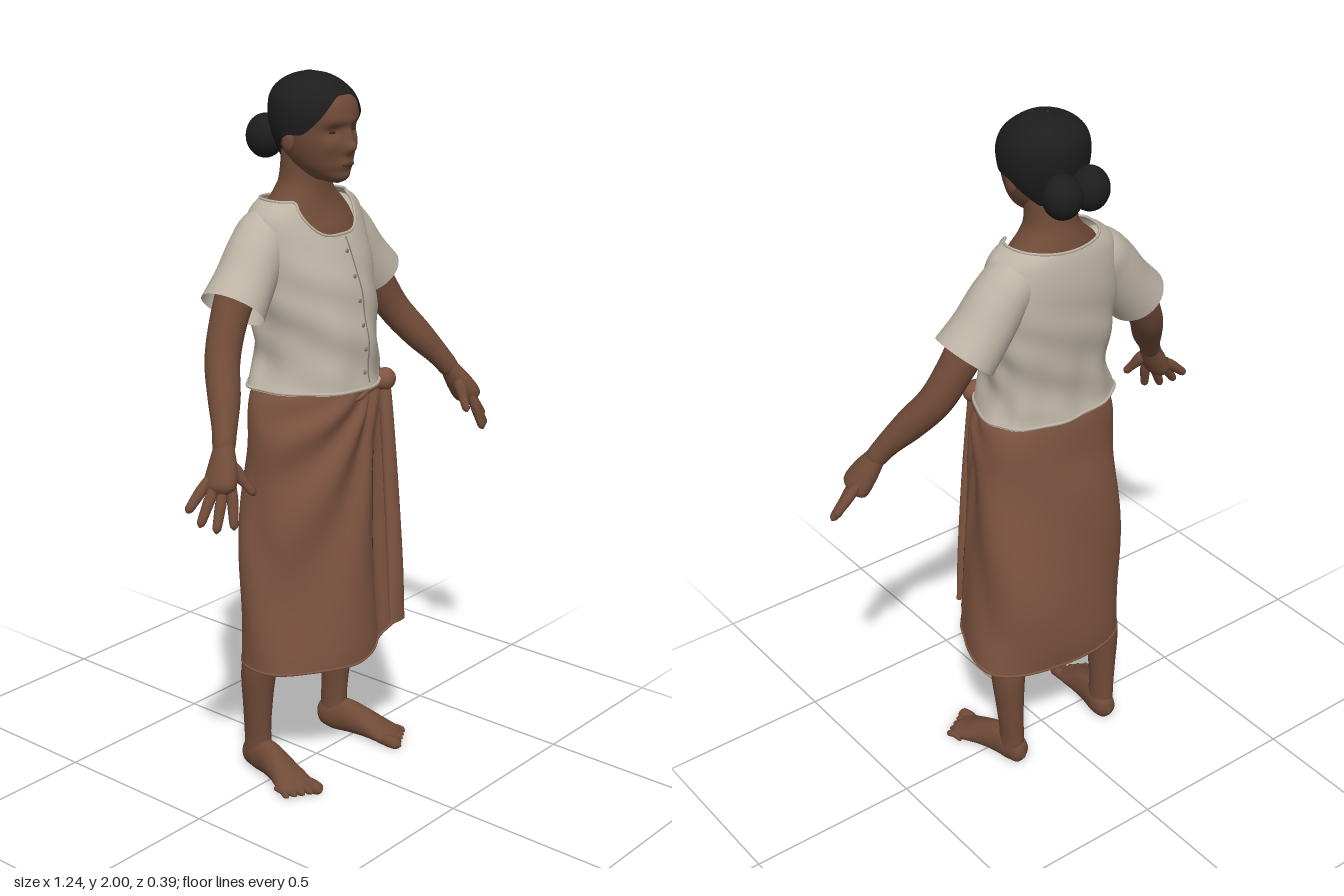
import * as THREE from 'three';

const mat = (name, color) => Object.assign(new THREE.MeshStandardMaterial({ color, side: THREE.DoubleSide }), { name });
const M = {
  skin: mat('skin', 0x6f4a37), hair: mat('hair', 0x1d1d1e), blouse: mat('blouse cloth', 0xbdb3a5),
  seam: mat('blouse seam', 0x857e76), skirt: mat('skirt cloth', 0x7f5541), lining: mat('skirt lining', 0x232323),
  lips: mat('lips', 0x5e3b2d), eyes: mat('eyes', 0x38241b),
};
const { sin, cos, exp, abs, PI, max, min } = Math;
const bell = (d, w) => exp(-((d / w) ** 2));
const smooth = (a, b, x) => { const t = min(1, max(0, (x - a) / (b - a))); return t * t * (3 - 2 * t); };

// Surface over a grid; u runs around (closed when wrap is set), v runs along
function grid(nu, nv, fn, wrap = true) {
  const pos = [], idx = [], cols = wrap ? nu : nu + 1;
  for (let j = 0; j <= nv; j++) for (let i = 0; i < cols; i++) pos.push(...fn(i / nu, j / nv));
  for (let j = 0; j < nv; j++) for (let i = 0; i < nu; i++) {
    const a = j * cols + i, b = j * cols + (i + 1) % cols, c = a + cols, d = b + cols;
    idx.push(a, b, d, a, d, c);
  }
  const g = new THREE.BufferGeometry();
  g.setAttribute('position', new THREE.Float32BufferAttribute(pos, 3));
  g.setIndex(idx);
  g.computeVertexNormals();
  return g;
}

// Smooth lookup of a profile table whose rows start with their key
function lookup(t, y) {
  let i = 0;
  while (i < t.length - 2 && y > t[i + 1][0]) i++;
  const slope = (k, c) => {
    const a = t[max(k - 1, 0)], b = t[min(k + 1, t.length - 1)];
    return (b[c] - a[c]) / (b[0] - a[0]);
  };
  const h = t[i + 1][0] - t[i][0], s = min(1, max(0, (y - t[i][0]) / h)), s2 = s * s, s3 = s2 * s;
  return t[i].slice(1).map((p, n) => p * (2 * s3 - 3 * s2 + 1) + t[i + 1][n + 1] * (3 * s2 - 2 * s3)
    + h * (slope(i, n + 1) * (s3 - 2 * s2 + s) + slope(i + 1, n + 1) * (s3 - s2)));
}

// Point on a body ring: rows are [y, half width, front z, back z]; angle 0 faces front.
// mid is the z of the widest place, box squares the back corners
function ring(t, a, y, off = 0, box = 0, mid) {
  const [rx, zf, zb] = lookup(t, y), c = cos(a), zc = mid ?? (zf + zb) / 2;
  const q = 1 + (c < 0 ? box : 0) * sin(2 * a) ** 2;
  return [(rx + off) * q * sin(a), y, zc + ((c > 0 ? zf - zc : zc - zb) + off) * q * c];
}

// Tube through rows of [x, y, z, radius across, radius along ref]
function sweep(rows, ref, nu = 20, nv = 30, floor = -1) {
  const curve = new THREE.CatmullRomCurve3(rows.map(r => new THREE.Vector3(r[0], r[1], r[2])));
  const radii = rows.map((r, i) => [i, r[3], r[4] ?? r[3]]);
  return grid(nu, nv, (u, v) => {
    const p = curve.getPoint(v), T = curve.getTangent(v);
    const side = T.clone().cross(ref).normalize(), up = side.clone().cross(T);
    const [ra, rb] = lookup(radii, v * (rows.length - 1)), a = u * 2 * PI;
    p.addScaledVector(side, ra * cos(a)).addScaledVector(up, -rb * sin(a));
    return [p.x, max(p.y, floor), p.z];
  });
}
const X = new THREE.Vector3(1, 0, 0), Y = new THREE.Vector3(0, 1, 0), Z = new THREE.Vector3(0, 0, 1);

const HEAD = [[1.712, .005, .075, .04], [1.722, .034, .094, -.01], [1.75, .064, .103, -.055], [1.78, .082, .107, -.08],
  [1.82, .096, .11, -.1], [1.86, .105, .108, -.113], [1.9, .108, .113, -.118], [1.94, .098, .096, -.113],
  [1.97, .068, .052, -.085], [1.985, .004, -.01, -.03]];
const HAIR = [[1.75, .065, .08, -.095], [1.82, .107, .112, -.115], [1.86, .117, .114, -.126], [1.9, .119, .117, -.131],
  [1.94, .109, .1, -.127], [1.97, .085, .066, -.105], [1.99, .048, .03, -.07], [2, .003, -.01, -.03]];
const NECK = [[1.5, .16, .095, -.12], [1.58, .16, .074, -.128], [1.62, .15, .05, -.132], [1.65, .126, .036, -.13],
  [1.68, .094, .029, -.122], [1.71, .074, .027, -.112], [1.79, .069, .03, -.1]];
const BLOUSE = [[1.16, .2, .178, -.152], [1.19, .188, .174, -.146], [1.25, .172, .172, -.142], [1.32, .176, .168, -.147],
  [1.4, .188, .152, -.156], [1.48, .195, .13, -.16], [1.56, .196, .094, -.16], [1.62, .19, .062, -.152],
  [1.65, .168, .046, -.144], [1.68, .11, .034, -.13]];
const SKIRT = [[.33, .238, .194, -.158], [.42, .238, .196, -.168], [.6, .229, .183, -.175], [.8, .22, .167, -.166],
  [1, .212, .156, -.147], [1.12, .2, .153, -.143], [1.2, .165, .143, -.13]];

// Head ring with nose, brow, eye sockets, lips and chin raised on the front
function headPoint(a, y) {
  const p = ring(HEAD, a, y, 0, .03), x = abs(p[0]);
  if (cos(a) > 0) p[2] += .024 * bell(x, .017) * bell(y - 1.81, .017) + .013 * bell(x, .014) * bell(y - 1.84, .024)
    - .011 * bell(x - .042, .022) * bell(y - 1.853, .015) + .005 * bell(x, .07) * bell(y - 1.88, .012)
    + .009 * bell(x, .028) * bell(y - 1.767, .016) + .006 * bell(x, .03) * bell(y - 1.732, .014)
    + .005 * bell(x - .055, .025) * bell(y - 1.815, .02);
  return p;
}
function blousePoint(a, y, off = 0) {
  const folds = .003 * sin(9 * a) * smooth(1.5, 1.2, y) + .003 * sin(4 * a + 45 * y) * smooth(1.6, 1.4, y);
  return ring(BLOUSE, a, y, off + folds, .07, -.03);
}
// Wrapped cloth: folds fan out from the waist knot, with one hanging pleat
function skirtPoint(a, y, off = 0) {
  const fan = Math.atan2(.24 * sin(a) - .13, 1.24 - y), front = smooth(-.1, .5, cos(a));
  const folds = .008 * sin(fan * 17) * front * smooth(1.2, 1.05, y)
    + .007 * sin(3 * a + 11 * y) * (1 - front) * smooth(1.15, .9, y)
    + .022 * bell(a - .62, .17) + .008 * bell(a - .95, .1) - .008 * bell(a - .3, .1);
  const p = ring(SKIRT, a, y, off + folds, .07, -.03);
  p[0] += .004;
  p[2] -= .035 * bell(a + .7, .55) * smooth(.85, .38, y);
  return p;
}

export function createModel() {
  const model = new THREE.Group();
  const add = (name, geometry, material, parent = model) => {
    const m = new THREE.Mesh(geometry, material);
    m.name = name;
    parent.add(m);
    return m;
  };
  const ball = (name, material, p, s, parent) => {
    const m = add(name, new THREE.SphereGeometry(1, 24, 16), material, parent);
    m.position.set(...p);
    m.scale.set(...s);
    return m;
  };
  const around = u => u * 2 * PI - PI;

  // Head, face and hair
  const head = new THREE.Group();
  head.name = 'head';
  model.add(head);
  add('face', grid(96, 80, (u, v) => headPoint(around(u), 1.712 + .273 * (.5 - .5 * cos(v * PI)))), M.skin, head);
  add('hairCap', grid(72, 30, (u, v) => {
    const a = around(u), b = abs(a);
    const low = 1.946 - .1 * smooth(.15, 1.3, b) - .08 * smooth(1.5, 2.5, b);
    return ring(HAIR, a, low + (2 - low) * sin(v * PI / 2), 0, .02);
  }), M.hair, head);
  for (const s of [1, -1]) {
    ball('hairBun', M.hair, [s * .044, 1.82, -.143], [.053, .06, .053], head);
    ball('ear', M.skin, [s * .103, 1.828, -.01], [.011, .03, .02], head);
    ball('eye', M.eyes, [s * .041, 1.852, .089], [.012, .0035, .005], head);
  }
  ball('lips', M.lips, [0, 1.767, .109], [.023, .007, .008], head);

  // Neck and upper chest
  add('neck', grid(48, 30, (u, v) => ring(NECK, around(u), 1.5 + .29 * v, 0, 0, -.04)), M.skin);

  // Blouse with scooped neckline, placket and buttons
  const neckline = a => 1.668 - .092 * exp(-((a / .62) ** 4)) - .01 * bell(abs(a) - PI, .6);
  add('blouseBody', grid(96, 60, (u, v) => {
    const a = around(u);
    return blousePoint(a, 1.16 + (neckline(a) - 1.16) * v);
  }), M.blouse);
  const edge = (name, height, point, r, m) => add(name, new THREE.TubeGeometry(new THREE.CatmullRomCurve3(
    Array.from({ length: 64 }, (_, i) => new THREE.Vector3(...point(around(i / 64), height(around(i / 64))))), true),
  160, r, 6, true), m);
  edge('blouseHem', () => 1.165, blousePoint, .005, M.blouse);
  edge('necklineTrim', neckline, blousePoint, .004, M.blouse);
  add('placket', grid(4, 30, (u, v) => blousePoint((u - .5) * .17, 1.17 + .4 * v, .004), false), M.blouse);
  add('placketSeam', grid(2, 30, (u, v) => blousePoint(.03 + (u - .5) * .03, 1.18 + .39 * v, .007), false), M.seam);
  for (let i = 0; i < 6; i++) ball('button', M.seam, blousePoint(-.03, 1.21 + i * .065, .006), [.006, .006, .003]);

  // Wrapped skirt with raised front hem and dark lining
  const hem = a => .343 + .088 * bell(a - .62, .47) + .015 * bell(a - 1.3, .4) + .014 * bell(a + .4, .6);
  const skirt = off => grid(128, 70, (u, v) => {
    const a = around(u), low = hem(a);
    return skirtPoint(a, low + (1.2 - low) * v, off);
  });
  add('skirt', skirt(0), M.skirt);
  add('skirtLining', skirt(-.007), M.lining);
  edge('skirtHem', hem, skirtPoint, .004, M.skirt);
  // Dark gaps beside the pleat: [angle, lean, width, bottom, height]
  for (const [a, lean, w, y, h] of [[.17, .17, .09, .64, .34], [.84, .02, .04, .54, .13]])
    add('foldGap', grid(4, 24, (u, v) =>
      skirtPoint(a + lean * v + (u - .5) * w * sin(v * PI), y + h * v, .003), false), M.lining);
  ball('waistKnot', M.skirt, [.125, 1.155, .14], [.034, .032, .03]);
  // Rolled cloth leading to and from the knot
  const roll = pts => add('waistRoll', sweep(pts.map(([a, y, r]) => [...skirtPoint(a, y, -.002), r]), Y), M.skirt);
  roll([[.6, 1.155, .018], [.85, 1.15, .015], [1.1, 1.145, .009], [1.35, 1.14, .002]]);
  roll([[.6, 1.155, .018], [.35, 1.14, .012], [0, 1.13, .008], [-.4, 1.125, .002]]);
  add('knotTail', sweep([[.125, 1.15, .138, .02, .016], [.128, 1.05, .146, .022, .018], [.138, .85, .156, .026, .018],
    [.142, .6, .172, .03, .018], [.142, .435, .182, .032, .012]], Z), M.skirt);

  for (const s of [1, -1]) {
    const side = s > 0 ? 'left' : 'right';
    const flip = rows => rows.map(([x, ...r]) => [s * x, ...r]);

    // Sleeve and arm
    add(side + 'Sleeve', sweep(flip([[.09, 1.6, -.06, .03, .03], [.135, 1.588, -.06, .066, .072], [.18, 1.54, -.055, .077, .08],
      [.235, 1.465, -.05, .08, .085], [.287, 1.403, -.045, .086, .092]]), Z, 40, 30), M.blouse);
    add(side + 'Arm', sweep(flip([[.2, 1.54, -.055, .055], [.255, 1.465, -.05, .055], [.31, 1.375, -.04, .05],
      [.36, 1.285, -.016, .047], [.41, 1.205, .035, .043], [.455, 1.14, .077, .033], [.48, 1.1, .097, .029],
      [.49, 1.08, .103, .02]]), Z, 28, 50), M.skin);

    // Hand
    const hand = new THREE.Group();
    hand.name = side + 'Hand';
    model.add(hand);
    add('palm', sweep(flip([[.464, 1.13, .086, .018, .022], [.484, 1.095, .1, .026, .031], [.509, 1.05, .117, .032, .044],
      [.533, 1.01, .129, .03, .046], [.542, .992, .134, .006, .012]]), Z, 24, 24), M.skin, hand);
    const fingers = [[.518, 1.005, .16, .538, .914, .184], [.537, 1.0, .143, .581, .911, .161],
      [.55, 1.008, .122, .611, .93, .132], [.555, 1.022, .1, .621, .964, .098], [.49, 1.065, .127, .457, .986, .184]];
    fingers.forEach(([x, y, z, tx, ty, tz], i) => {
      const at = (k, r) => [x + (tx - x) * k, y + (ty - y) * k, z + (tz - z) * k, r];
      add(i < 4 ? 'finger' : 'thumb', sweep(flip([at(-.2, .012), at(.2, i < 4 ? .015 : .019), at(.6, .0135),
        at(.9, .011), at(1, .002)]), X, 12, 14), M.skin, hand);
    });

    // Leg, foot and toes
    add(side + 'Leg', sweep(flip([[.125, .55, -.02, .05, .055], [.158, .42, -.05, .052, .053], [.174, .32, -.067, .048, .053],
      [.174, .2, -.074, .038, .045], [.171, .11, -.077, .032, .043], [.17, .05, -.075, .034, .046]]), Z, 28, 40), M.skin);
    add(side + 'Foot', sweep(flip([[.163, .035, -.13, .004, .006], [.165, .038, -.117, .026, .034], [.168, .047, -.08, .036, .05],
      [.177, .05, -.03, .037, .052], [.192, .038, .035, .044, .04], [.205, .024, .085, .054, .026],
      [.213, .017, .118, .05, .018], [.216, .013, .132, .025, .01]]), Y, 28, 40, .002), M.skin);
    for (let i = 0; i < 5; i++) {
      const x = .172 + i * .021, z = .118 - .008 * i, r = i ? .0125 - .0008 * i : .018, len = i ? .052 - .004 * i : .055;
      add('toe', sweep(flip([[x, .018, z - .02, r * .8], [x + .003, .018, z + len * .3, r], [x + .008, .014, z + len * .75, r],
        [x + .01, .011, z + len, .002]]), Y, 12, 12, .002), M.skin);
    }
  }
  return model;
}
